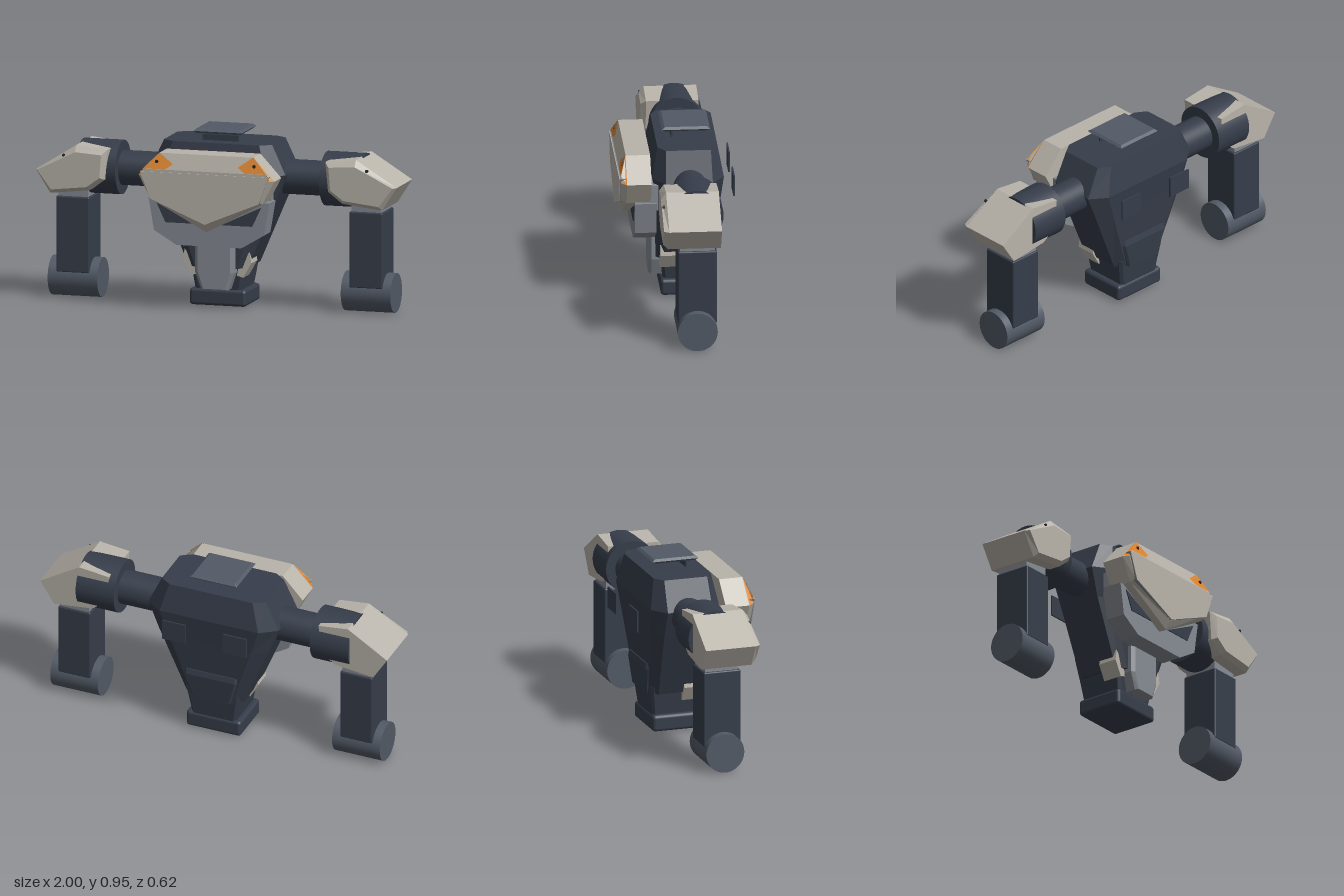
import * as THREE from 'three';
import { RoundedBoxGeometry } from 'three/addons/geometries/RoundedBoxGeometry.js';

const mat = (name, color, side = THREE.FrontSide) => {
  const m = new THREE.MeshStandardMaterial({ color, side });
  m.name = name;
  return m;
};

// Faceted solid through matching polygons [[x, y], ...] stacked at the given z values
function loft(rings, zs) {
  const v2 = rings.map(r => r.map(([x, y]) => new THREE.Vector2(x, y)));
  if (THREE.ShapeUtils.area(v2[0]) < 0) v2.forEach(r => r.reverse());
  const n = v2[0].length, pos = [];
  const put = (k, i) => pos.push(v2[k][i % n].x, v2[k][i % n].y, zs[k]);
  for (let k = 0; k < v2.length - 1; k++) {
    for (let i = 0; i < n; i++) {
      put(k, i); put(k, i + 1); put(k + 1, i + 1);
      put(k, i); put(k + 1, i + 1); put(k + 1, i);
    }
  }
  const last = v2.length - 1;
  for (const [a, b, c] of THREE.ShapeUtils.triangulateShape(v2[0], [])) { put(0, a); put(0, c); put(0, b); }
  for (const [a, b, c] of THREE.ShapeUtils.triangulateShape(v2[last], [])) { put(last, a); put(last, b); put(last, c); }
  const g = new THREE.BufferGeometry();
  g.setAttribute('position', new THREE.Float32BufferAttribute(pos, 3));
  g.computeVertexNormals();
  return g;
}

const prism = (poly, z0, z1) => loft([poly, poly], [z0, z1]);
const flip = (poly, s) => poly.map(([x, y]) => [x * s, y]);
// Completes a half outline that runs from top to bottom on +x
const symmetric = half => [...half, ...flip(half, -1).reverse().filter(([x]) => x !== 0)];

// Upright solid from chamfered rectangles: [y, halfWidth, zFront, zBack, chamferX, chamferZ]
function tower(sections) {
  const rings = sections.map(([, w, f, b, cx, cz]) => [
    [w, -f + cz], [w, -b - cz], [w - cx, -b], [-w + cx, -b],
    [-w, -b - cz], [-w, -f + cz], [-w + cx, -f], [w - cx, -f]]);
  return loft(rings, sections.map(s => s[0])).rotateX(-Math.PI / 2);
}

function box(x0, x1, y0, y1, z0, z1, r = 0) {
  const d = [Math.abs(x1 - x0), y1 - y0, z1 - z0];
  const g = r ? new RoundedBoxGeometry(...d, 2, r) : new THREE.BoxGeometry(...d);
  return g.translate((x0 + x1) / 2, (y0 + y1) / 2, (z0 + z1) / 2);
}

const axle = (x0, x1, y, z, r) =>
  new THREE.CylinderGeometry(r, r, Math.abs(x1 - x0), 40).rotateZ(Math.PI / 2).translate((x0 + x1) / 2, y, z);

export function createModel() {
  const model = new THREE.Group();
  model.name = 'robotTorso';
  const navy = mat('navy frame', 0x363d4a);
  const slate = mat('slate metal', 0x525a66);
  const silver = mat('silver grey', 0x858a92);
  const bone = mat('bone armour', 0xb9b4aa);
  const orange = mat('orange lens', 0xdc8530, THREE.DoubleSide);
  const black = mat('black rivet', 0x20242b);
  const add = (name, geometry, material, parent = model) => {
    const m = new THREE.Mesh(geometry, material);
    m.name = name;
    parent.add(m);
    return m;
  };

  // Core body, waist and base
  add('torso', tower([
    [0.22, 0.165, 0.10, -0.205, 0.05, 0.04],
    [0.58, 0.315, 0.105, -0.235, 0.08, 0.05],
    [0.73, 0.375, 0.13, -0.25, 0.09, 0.065],
    [0.89, 0.30, 0.10, -0.22, 0.06, 0.04]]), navy);
  add('waist', tower([
    [0.08, 0.125, 0.06, -0.185, 0.015, 0.015],
    [0.26, 0.155, 0.08, -0.205, 0.015, 0.015]]), navy);
  add('base', box(-0.157, 0.157, 0.01, 0.10, -0.193, 0.075, 0.018), navy);

  // Top plate on its thin stem
  add('topPlate', tower([
    [0.932, 0.122, 0.053, -0.175, 0.002, 0.002],
    [0.944, 0.135, 0.068, -0.188, 0.002, 0.002],
    [0.956, 0.122, 0.053, -0.175, 0.002, 0.002]]), slate);
  add('topPlateStem', box(-0.10, 0.10, 0.885, 0.922, 0.008, 0.017), navy);

  // Back panel
  add('backPanel', tower([
    [0.22, 0.11, -0.16, -0.222, 0.01, 0.01],
    [0.36, 0.15, -0.16, -0.232, 0.01, 0.01],
    [0.39, 0.15, -0.16, -0.225, 0.01, 0.01]]), navy);

  // Lower breastplate and belly plate
  add('lowerBreastplate', prism(symmetric([[0.335, 0.605], [0.305, 0.43], [0.18, 0.355]]), 0.11, 0.225), silver);
  add('chestMount', box(-0.32, 0.32, 0.56, 0.70, 0.10, 0.145), silver);
  add('bellyPlate', loft([
    symmetric([[0.11, 0.35], [0.11, 0.20], [0.075, 0.105]]),
    symmetric([[0.11, 0.35], [0.11, 0.20], [0.075, 0.105]]),
    symmetric([[0.09, 0.345], [0.09, 0.20], [0.06, 0.11]])], [0.05, 0.12, 0.135]), silver);

  // Chest armour with bevelled front
  const outline = symmetric([[0.26, 0.855], [0.375, 0.73], [0.31, 0.605], [0, 0.44]]);
  const inset = symmetric([[0.34, 0.77], [0.355, 0.735], [0.30, 0.62], [0, 0.485]]);
  add('chestArmour', loft([outline, outline, inset], [0.14, 0.27, 0.30]), bone);
  const shield = symmetric([[0.356, 0.757], [0.30, 0.612], [0, 0.487]]);
  add('chestShieldEdge', prism(shield, 0.278, 0.306), silver);
  add('chestShieldFace', prism(shield, 0.306, 0.31), bone);

  for (const s of [1, -1]) {
    const side = new THREE.Group();
    side.name = s > 0 ? 'leftSide' : 'rightSide';
    model.add(side);

    // Lens wrapping from the chest's sloped top onto its corner
    const lens = [[0.18, 0.80, 0.291], [0.26, 0.857, 0.271], [0.342, 0.772, 0.302],
      [0.22, 0.772, 0.302], [0.378, 0.731, 0.271], [0.358, 0.736, 0.302]];
    const g = new THREE.BufferGeometry();
    const order = [0, 3, 2, 0, 2, 1, 1, 2, 5, 1, 5, 4];
    g.setAttribute('position', new THREE.Float32BufferAttribute(order.flatMap((_, i) => {
      const t = i - i % 3, j = s > 0 ? i : t + 2 - i % 3;
      const [x, y, z] = lens[order[j]];
      return [x * s, y, z];
    }), 3));
    g.computeVertexNormals();
    add('chestLens', g, orange, side);
    add('lensRivet', new THREE.CylinderGeometry(0.009, 0.009, 0.012, 12).rotateX(Math.PI / 2)
      .translate(0.27 * s, 0.81, 0.287), black, side);

    // Dark vent under the chest, hip guard and back fin
    add('chestVent', prism(flip([[0.29, 0.58], [0.24, 0.475], [0.07, 0.475]], s), 0.22, 0.23), navy, side);
    add('hipGuard', prism(flip([[0.18, 0.31], [0.19, 0.25], [0.145, 0.17], [0.11, 0.18], [0.12, 0.24]], s),
      -0.03, 0.08), bone, side);
    add('backFin', box(0.107 * s, 0.243 * s, 0.60, 0.715, -0.312, -0.304), navy, side);

    // Arm: axle, shoulder drum, armour, forearm and hand roller
    add('armAxle', axle(0.33 * s, 0.58 * s, 0.703, -0.065, 0.093), navy, side);
    add('shoulderDrum', axle(0.565 * s, 0.785 * s, 0.705, -0.065, 0.145), navy, side);
    const pad = flip([[1, 0.70], [0.775, 0.84], [0.605, 0.82], [0.62, 0.66], [0.70, 0.60], [0.87, 0.58], [0.92, 0.575]], s);
    const padFront = flip([[0.985, 0.70], [0.775, 0.805], [0.63, 0.795], [0.64, 0.672], [0.712, 0.62], [0.87, 0.602], [0.908, 0.597]], s);
    add('shoulderArmour', loft([pad, pad, padFront], [-0.185, 0.095, 0.122]), bone, side);
    add('shoulderRivet', new THREE.CylinderGeometry(0.008, 0.008, 0.012, 12).rotateX(Math.PI / 2)
      .translate(0.84 * s, 0.785, 0.112), black, side);
    add('elbow', box(0.73 * s, 0.895 * s, 0.54, 0.60, -0.155, 0.03), silver, side);
    add('forearm', box(0.72 * s, 0.905 * s, 0.14, 0.55, -0.165, 0.042, 0.008), navy, side);
    add('handRoller', axle(0.675 * s, 0.95 * s, 0.108, -0.06, 0.106), slate, side);
  }
  return model;
}
